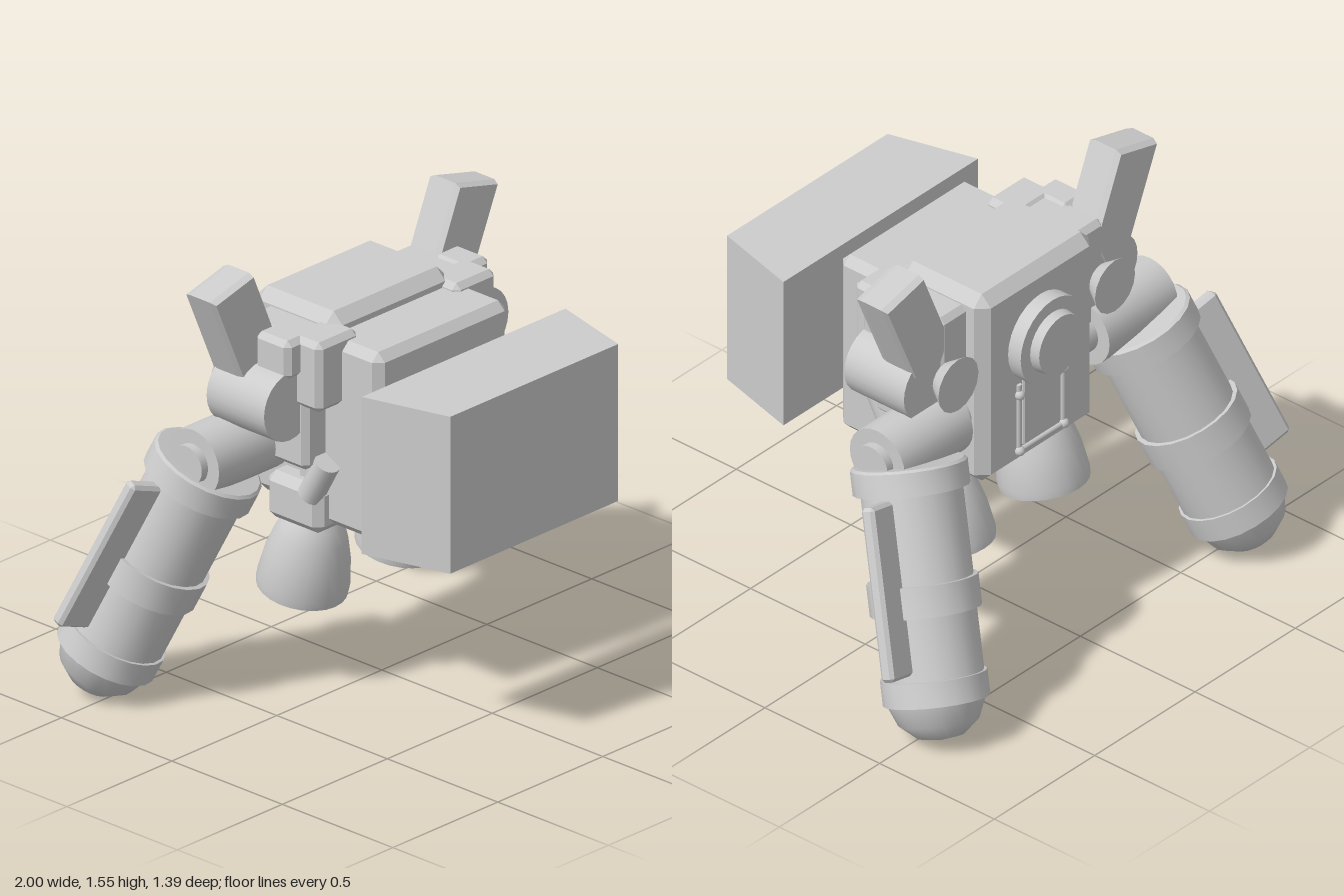
import * as THREE from 'three';
import { toCreasedNormals } from 'three/addons/utils/BufferGeometryUtils.js';
import { ConvexGeometry } from 'three/addons/geometries/ConvexGeometry.js';

const V = (x, y, z) => new THREE.Vector3(x, y, z);

export function createModel() {
  const model = new THREE.Group();
  const grey = new THREE.MeshStandardMaterial({ color: 0xcccccc });
  grey.name = 'light grey';

  const add = (parent, name, geometry) => {
    const mesh = new THREE.Mesh(geometry, grey);
    mesh.name = name;
    parent.add(mesh);
    return mesh;
  };

  // box between two corners with every edge chamfered by c
  const block = (x0, x1, y0, y1, z0, z1, c = 0.02) => {
    const pts = [];
    const lo = [x0, y0, z0], hi = [x1, y1, z1];
    for (let i = 0; i < 8; i++) {
      for (let face = 0; face < 3; face++) {
        const p = [0, 1, 2].map((a) => {
          const inset = a === face ? 0 : c;
          return (i >> a) & 1 ? hi[a] - inset : lo[a] + inset;
        });
        pts.push(V(...p));
      }
    }
    return new ConvexGeometry(pts);
  };
  const sideBlock = (s, x0, x1, ...rest) =>
    s > 0 ? block(x0, x1, ...rest) : block(-x1, -x0, ...rest);

  // turned part; profile runs from the bottom up the outside
  const turned = (profile, sides = 20) =>
    toCreasedNormals(new THREE.LatheGeometry(profile.map((p) => new THREE.Vector2(...p)), sides), 0.6);

  // closed drum along an axis
  const drum = (r0, r1, length, axis, sides = 24) => {
    const g = new THREE.CylinderGeometry(r1, r0, length, sides);
    if (axis === 'x') g.rotateZ(-Math.PI / 2);
    if (axis === 'z') g.rotateX(Math.PI / 2);
    return g;
  };

  // large tapered block held in front
  const frontBlock = [];
  for (const x of [-1, 1]) for (const y of [0.69, 1.255]) {
    frontBlock.push(V(0.485 * x, y, 0.37), V(0.4 * x, y, 0.69));
  }
  add(model, 'frontBlock', new ConvexGeometry(frontBlock));

  // core
  add(model, 'chest', block(-0.315, 0.315, 0.635, 1.315, -0.1, 0.285, 0.03));
  add(model, 'backpack', block(-0.285, 0.285, 0.64, 1.375, -0.325, 0.055, 0.04));

  // round hatch on the back
  add(model, 'hatchRing', drum(0.16, 0.16, 0.08, 'z', 28)).position.set(0, 1.11, -0.34);
  add(model, 'hatchCap', drum(0.108, 0.115, 0.05, 'z', 28)).position.set(0, 1.11, -0.39);

  // panel under the hatch with rods and studs
  add(model, 'backPanel', block(-0.09, 0.09, 0.72, 0.98, -0.333, -0.31, 0.005));
  add(model, 'backCrossRod', drum(0.01, 0.01, 0.22, 'x', 8)).position.set(0, 0.71, -0.33);

  for (const s of [1, -1]) {
    const side = new THREE.Group();
    side.name = s > 0 ? 'leftSide' : 'rightSide';
    model.add(side);

    add(side, 'backRod', drum(0.01, 0.01, 0.26, 'y', 8)).position.set(0.11 * s, 0.84, -0.328);
    for (const y of [0.71, 0.93]) {
      add(side, 'backStud', new THREE.SphereGeometry(0.018, 10, 8)).position.set(0.11 * s, y, -0.333);
    }

    // shoulder strap and side pack
    add(side, 'strapBlock', sideBlock(s, 0.23, 0.425, 1.09, 1.34, -0.03, 0.12));
    add(side, 'sidePack', sideBlock(s, 0.26, 0.41, 0.855, 1.33, -0.25, 0.045));
    add(side, 'packTop', sideBlock(s, 0.36, 0.485, 1.2, 1.34, -0.12, 0.035));
    add(side, 'rearNozzle', drum(0.06, 0.1, 0.06, 'z', 16)).position.set(0.39 * s, 1.1, -0.28);
    side.children.at(-1).rotation.y = Math.PI;

    // upper shoulder drum with its raised fin
    add(side, 'shoulderDrum', drum(0.122, 0.122, 0.26, 'z')).position.set(0.46 * s, 1.103, -0.11);
    const outline = [[0.67, 1.492], [0.492, 1.537], [0.37, 1.25], [0.42, 1.15], [0.53, 1.17]];
    const fin = [];
    const middle = V(0.5, 1.32, 0);
    for (const [x, y] of outline) {
      const p = V(x, y, 0);
      const out = p.clone().sub(middle).multiplyScalar(1.05).add(middle);
      for (const z of [-0.248, -0.112]) fin.push(V(p.x * s, p.y, z));
      for (const z of [-0.225, -0.135]) fin.push(V(out.x * s, out.y, z));
    }
    add(side, 'shoulderFin', new ConvexGeometry(fin));

    // lower joint
    add(side, 'armJoint', drum(0.12, 0.12, 0.34, 'x')).position.set(0.51 * s, 0.9, -0.21);
    add(side, 'armJointCap', drum(0.07, 0.07, 0.42, 'x')).position.set(0.5 * s, 0.9, -0.21);

    // slanted tank, built along its own axis
    const tank = new THREE.Group();
    tank.name = 'tankArm';
    const up = V(-0.18 * s, 0.687, 0.275).normalize();
    const out = V(s, 0, -0.25);
    out.addScaledVector(up, -out.dot(up)).normalize();
    const across = new THREE.Vector3().crossVectors(out, up);
    tank.quaternion.setFromRotationMatrix(new THREE.Matrix4().makeBasis(out, up, across));
    tank.position.set(0.565 * s, 0.857, -0.245);
    side.add(tank);
    add(tank, 'tank', turned([
      [0, -0.93], [0.08, -0.915], [0.135, -0.868], [0.165, -0.796],
      [0.178, -0.796], [0.178, -0.71], [0.168, -0.71],
      [0.168, -0.496], [0.186, -0.496], [0.186, -0.39], [0.17, -0.39],
      [0.17, -0.09], [0.195, -0.09], [0.195, -0.008], [0.185, 0], [0, 0],
    ]));
    add(tank, 'tankPlate', block(0.1, 0.29, -0.685, -0.1, -0.025, 0.025, 0.012));

    // thruster: mounting block, pivot and open bell
    add(side, 'thrusterMount', sideBlock(s, 0.11, 0.365, 0.61, 0.78, -0.19, 0.06, 0.03));
    const pivot = add(side, 'thrusterPivot', drum(0.045, 0.045, 0.16, 'y', 16));
    pivot.position.set(0.34 * s, 0.81, 0.04);
    pivot.rotation.x = 0.5;
    const bell = add(side, 'thrusterBell', turned([
      [0, -0.1], [0.1, -0.13], [0.135, -0.22], [0.143, -0.28],
      [0.153, -0.28], [0.156, -0.25], [0.143, -0.15], [0.122, -0.07],
      [0.1, -0.02], [0.085, 0.0], [0.085, 0.04], [0, 0.04],
    ], 24));
    bell.position.set(0.235 * s, 0.61, -0.08);
    bell.rotation.x = 0.21;
  }
  return model;
}
